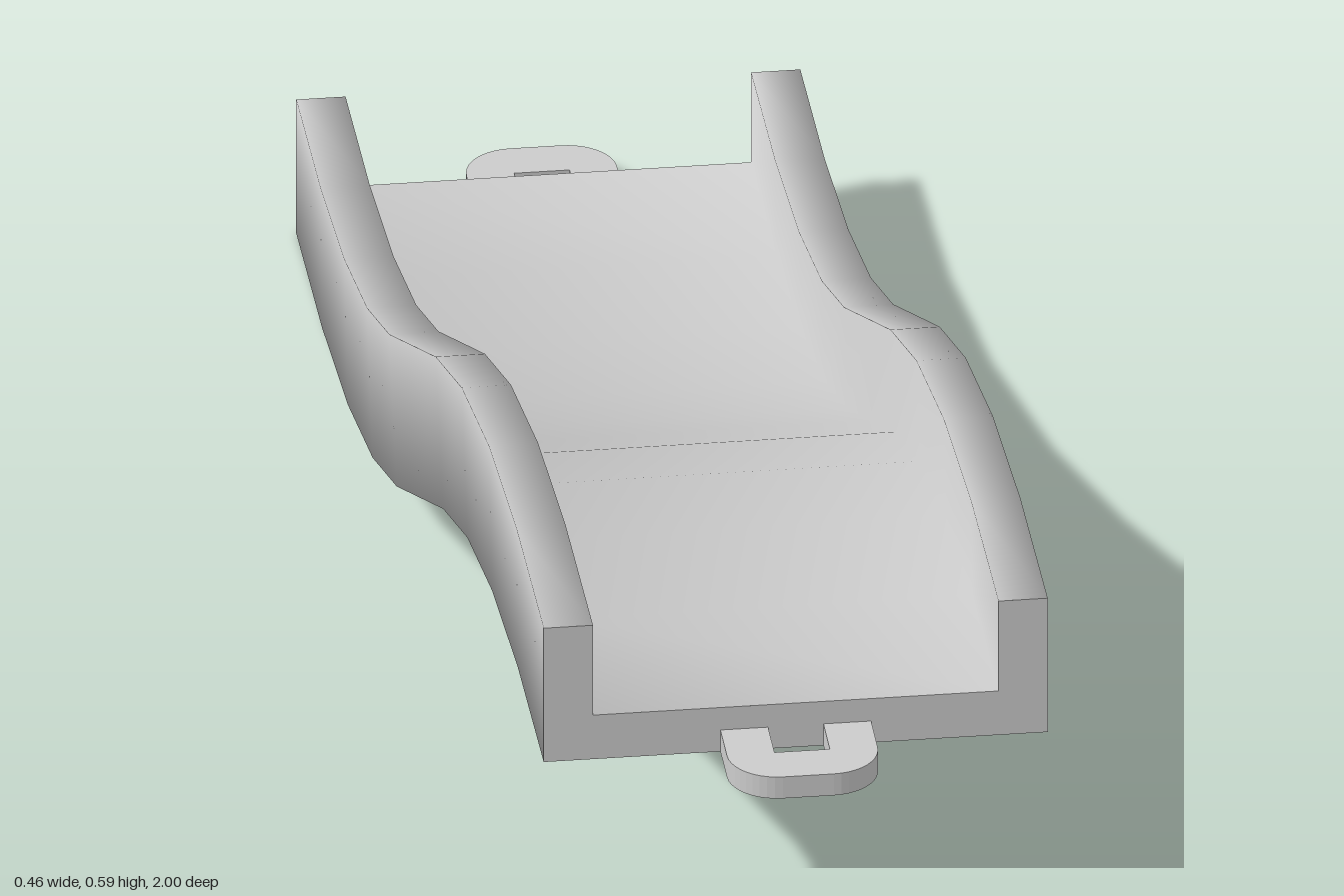
import * as THREE from 'three';

const END = 0.907;      // half length of the deck
const RISE = 0.455;     // height gained from back to front
const HALF_W = 0.2275, INNER_W = 0.183, WALL_H = 0.137, FLOOR_H = 0.045;

const material = new THREE.MeshStandardMaterial({ color: 0xcccccc });

// U-shaped channel section, counter-clockwise seen from the front
const section = [
  [-HALF_W, 0], [HALF_W, 0], [HALF_W, WALL_H], [INNER_W, WALL_H],
  [INNER_W, FLOOR_H], [-INNER_W, FLOOR_H], [-INNER_W, WALL_H], [-HALF_W, WALL_H],
].map(([x, y]) => new THREE.Vector2(x, y));

// Sweep the section down an S-curve, keeping it square to the curve
function sweepChannel(steps) {
  const path = new THREE.CubicBezierCurve3(
    new THREE.Vector3(0, RISE, END), new THREE.Vector3(0, RISE, 0),
    new THREE.Vector3(0, 0, 0), new THREE.Vector3(0, 0, -END));
  const positions = [], index = [], n = section.length;
  for (let i = 0; i <= steps; i++) {
    const p = path.getPointAt(i / steps), t = path.getTangentAt(i / steps);
    for (const s of section) positions.push(s.x, p.y - t.z * s.y, p.z + t.y * s.y);
  }
  for (let i = 0; i < steps; i++) {
    for (let j = 0; j < n; j++) {
      const a = i * n + j, b = i * n + (j + 1) % n;
      index.push(a, a + n, b + n, a, b + n, b);
    }
  }
  const geometry = new THREE.BufferGeometry();
  geometry.setAttribute('position', new THREE.Float32BufferAttribute(positions, 3));
  geometry.setIndex(index);
  geometry.computeVertexNormals();
  return geometry;
}

// Flat rounded loop that reaches out from the end of the deck
function loopGeometry() {
  const w = 0.068, len = 1 - END, r = 0.045, hole = 0.025, depth = 0.047;
  const s = new THREE.Shape();
  s.moveTo(hole, 0);
  s.lineTo(w, 0);
  s.lineTo(w, len - r);
  s.absarc(w - r, len - r, r, 0, Math.PI / 2);
  s.lineTo(r - w, len);
  s.absarc(r - w, len - r, r, Math.PI / 2, Math.PI);
  s.lineTo(-w, 0);
  s.lineTo(-hole, 0);
  s.lineTo(-hole, depth);
  s.lineTo(hole, depth);
  s.closePath();
  const g = new THREE.ExtrudeGeometry(s, { depth: 0.022, bevelEnabled: false, curveSegments: 5 });
  // lay flat: outward direction becomes +z, thickness rises from y = 0
  g.rotateX(Math.PI / 2);
  g.translate(0, 0.022, 0);
  return g;
}

export function createModel() {
  const model = new THREE.Group();
  model.name = 'slopedTrack';

  const add = (name, geometry, parent) => {
    const mesh = new THREE.Mesh(geometry, material);
    mesh.name = name;
    parent.add(mesh);
    return mesh;
  };

  add('channel', sweepChannel(10), model);

  // Each end: flat cap and connecting loop
  const cap = new THREE.ShapeGeometry(new THREE.Shape(section));
  const loop = loopGeometry();
  for (const [name, y, turn] of [['front', RISE, 0], ['back', 0, Math.PI]]) {
    const end = new THREE.Group();
    end.name = name + 'End';
    end.rotation.y = turn;
    end.position.set(0, y, turn ? -END : END);
    add(name + 'Cap', cap, end);
    add(name + 'Loop', loop, end);
    model.add(end);
  }
  return model;
}
